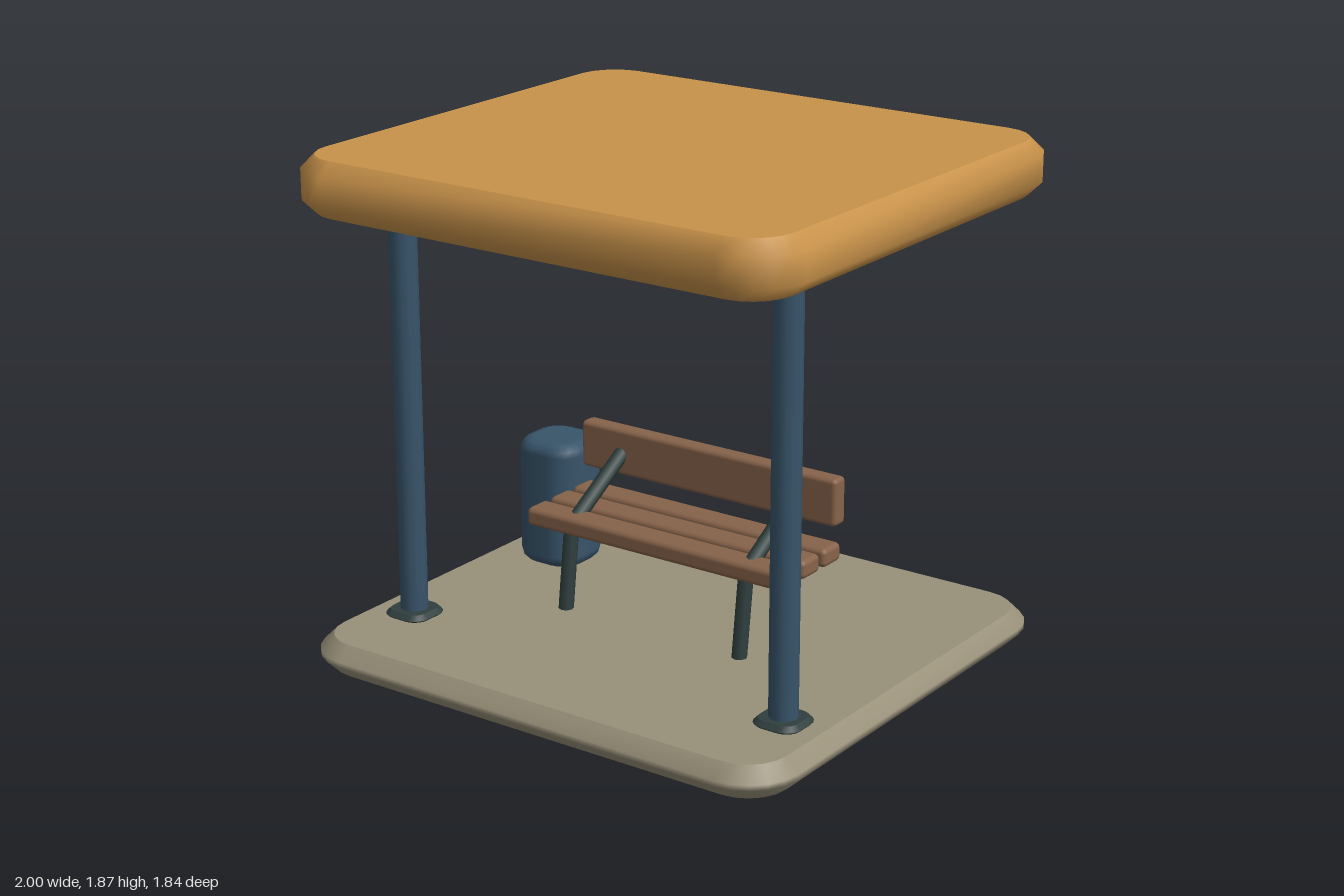
import * as THREE from 'three';
import { RoundedBoxGeometry } from 'three/addons/geometries/RoundedBoxGeometry.js';

const paint = (name, color) => {
  const m = new THREE.MeshStandardMaterial({ color });
  m.name = name;
  return m;
};

// Rounded-plan slab standing on y = 0: smooth bevelled rim, flat caps
function slabGeometry(w, h, d, radius, bevel, bevelSteps = 1, cornerSteps = 5) {
  const profile = [];
  for (let i = 0; i <= bevelSteps; i++) {
    const t = (i / bevelSteps) * Math.PI / 2;
    profile.push([bevel * (1 - Math.sin(t)), bevel * (1 - Math.cos(t))]);
  }
  const rings = [...profile, ...profile.slice().reverse().map(([inset, y]) => [inset, h - y])];
  const ring = ([inset, y]) => {
    const pts = [];
    for (let c = 0; c < 4; c++) {
      const sx = c === 0 || c === 3 ? 1 : -1, sz = c < 2 ? -1 : 1;
      for (let i = 0; i <= cornerSteps; i++) {
        const a = (c + i / cornerSteps) * Math.PI / 2;
        pts.push(sx * (w / 2 - radius) + (radius - inset) * Math.cos(a), y,
          sz * (d / 2 - radius) - (radius - inset) * Math.sin(a));
      }
    }
    return pts;
  };
  const n = 4 * (cornerSteps + 1), pos = [], idx = [];
  rings.forEach((r) => pos.push(...ring(r)));
  for (let k = 0; k < rings.length - 1; k++) {
    for (let i = 0; i < n; i++) {
      const a = k * n + i, b = k * n + (i + 1) % n;
      idx.push(a, b, b + n, a, b + n, a + n);
    }
  }
  // caps own their vertices so their edge stays crisp
  for (const top of [false, true]) {
    const start = pos.length / 3;
    pos.push(...ring(rings[top ? rings.length - 1 : 0]), 0, top ? h : 0, 0);
    for (let i = 0; i < n; i++) {
      const a = start + i, b = start + (i + 1) % n;
      idx.push(start + n, top ? a : b, top ? b : a);
    }
  }
  const g = new THREE.BufferGeometry();
  g.setAttribute('position', new THREE.Float32BufferAttribute(pos, 3));
  g.setIndex(idx);
  g.computeVertexNormals();
  return g;
}

export function createModel() {
  const model = new THREE.Group();
  model.name = 'benchShelter';
  const concrete = paint('concrete', 0x989079);
  const roofPaint = paint('ochreRoof', 0xc8924a);
  const steel = paint('blueSteel', 0x38546a);
  const iron = paint('darkIron', 0x2f3f3e);
  const wood = paint('brownWood', 0x87634a);

  const add = (name, geometry, material, x, y, z, parent = model) => {
    const mesh = new THREE.Mesh(geometry, material);
    mesh.name = name;
    mesh.position.set(x, y, z);
    parent.add(mesh);
    return mesh;
  };

  // Round bar between two points
  const bar = (name, from, to, r, parent) => {
    const a = new THREE.Vector3(...from), b = new THREE.Vector3(...to);
    const dir = b.clone().sub(a);
    const mid = a.clone().add(b).multiplyScalar(0.5);
    const mesh = add(name, new THREE.CylinderGeometry(r, r, dir.length(), 8), iron, mid.x, mid.y, mid.z, parent);
    mesh.quaternion.setFromUnitVectors(new THREE.Vector3(0, 1, 0), dir.normalize());
  };

  // Floor and roof
  add('floorSlab', slabGeometry(2, 0.12, 1.84, 0.2, 0.05), concrete, 0, 0, 0);
  add('roof', slabGeometry(2, 0.2, 1.84, 0.2, 0.05), roofPaint, 0, 1.67, 0);
  add('ceilingLamp', new THREE.CylinderGeometry(0.1, 0.1, 0.008, 20), concrete, 0, 1.669, 0.51);

  // Front posts with foot plates
  for (const side of [-1, 1]) {
    const x = side * 0.8;
    add('post', new THREE.CylinderGeometry(0.051, 0.051, 1.6, 12), steel, x, 0.9, 0.51);
    add('footPlate', slabGeometry(0.18, 0.035, 0.18, 0.06, 0.017), iron, x, 0.108, 0.51);
  }

  // Bench
  const bench = new THREE.Group();
  bench.name = 'bench';
  model.add(bench);
  for (const z of [0.1, -0.035, -0.17]) {
    add('seatSlat', new RoundedBoxGeometry(1.115, 0.07, 0.11, 2, 0.02), wood, -0.003, 0.435, z, bench);
  }
  add('backrest', new RoundedBoxGeometry(1.115, 0.178, 0.07, 2, 0.018), wood, -0.003, 0.622, -0.213, bench);
  for (const side of [-1, 1]) {
    const x = side * 0.381;
    bar('benchLeg', [x, 0.11, 0.157], [x, 0.43, 0.117], 0.028, bench);
    bar('benchArm', [x, 0.43, 0.117], [x, 0.622, -0.2], 0.028, bench);
  }

  // Litter bin
  add('litterBin', slabGeometry(0.27, 0.487, 0.268, 0.1, 0.045, 3), steel, -0.702, 0.122, -0.231);

  return model;
}
